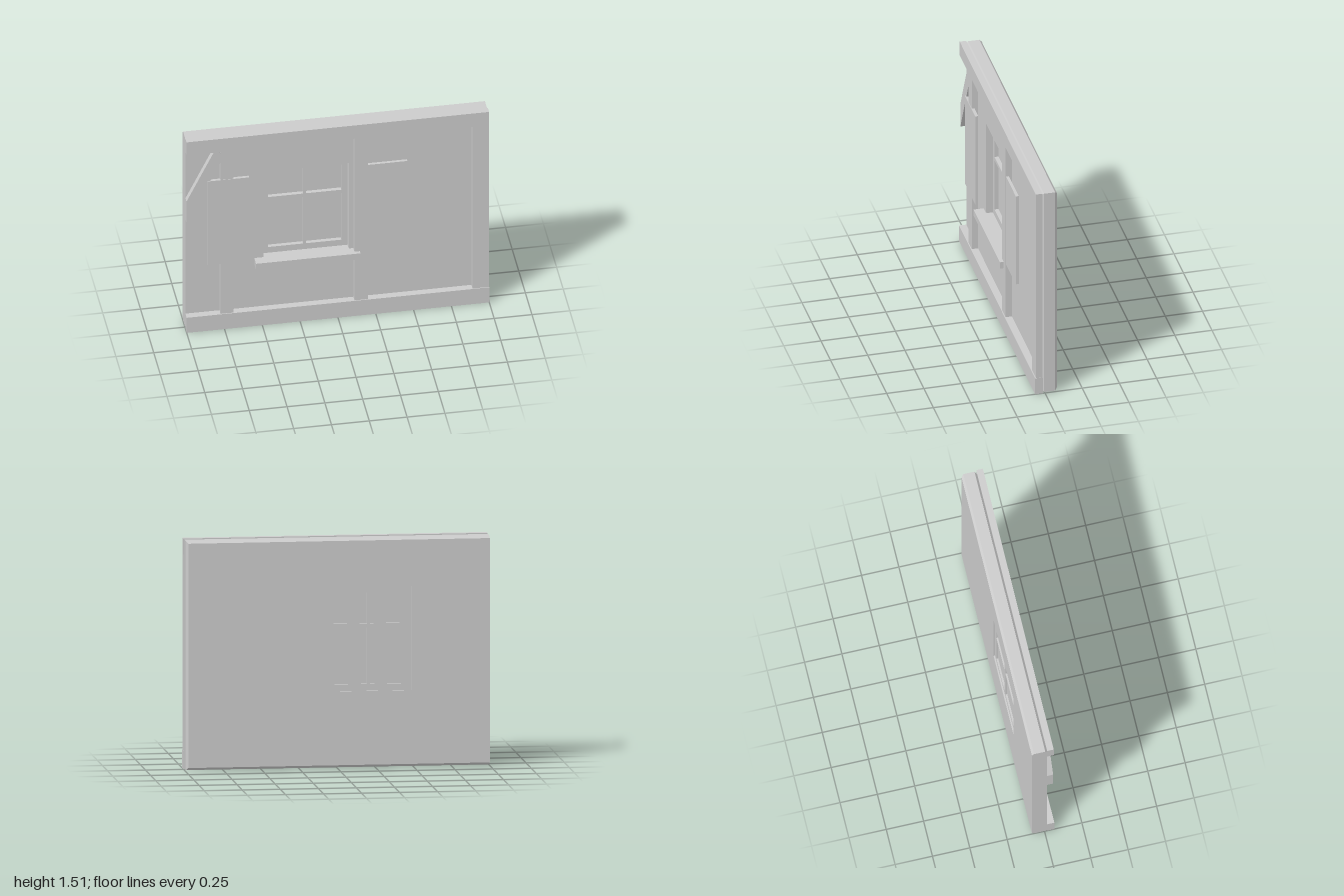
import * as THREE from 'three';

const material = new THREE.MeshStandardMaterial({ color: 0xcccccc, flatShading: true });

// Window opening shared by wall and frame
const OPEN = { x0: -0.485, x1: 0.08, y0: 0.505, y1: 1.19 };

function add(group, name, geometry) {
  const mesh = new THREE.Mesh(geometry, material);
  mesh.name = name;
  group.add(mesh);
  return mesh;
}

// Box given by its limits on each axis
function block(group, name, [x0, x1], [y0, y1], [z0, z1]) {
  const geometry = new THREE.BoxGeometry(x1 - x0, y1 - y0, z1 - z0);
  geometry.translate((x0 + x1) / 2, (y0 + y1) / 2, (z0 + z1) / 2);
  return add(group, name, geometry);
}

const polygon = (Type, points) => new Type(points.map(([x, y]) => new THREE.Vector2(x, y)));
const rect = (Type, x0, x1, y0, y1) => polygon(Type, [[x0, y0], [x1, y0], [x1, y1], [x0, y1]]);

// Wall slab with a window hole; top, bottom and +x edges are chamfered
function wallGeometry() {
  const right = 0.995, bottom = 0.005, top = 1.51, inset = 0.015;
  const layers = [-0.085, -0.07, 0.005, 0.018];
  const shape = rect(THREE.Shape, -1, right, bottom, top);
  shape.holes.push(rect(THREE.Path, OPEN.x0, OPEN.x1, OPEN.y0, OPEN.y1));
  const geometry = new THREE.ExtrudeGeometry(shape, { depth: 3, steps: 3, bevelEnabled: false });
  const p = geometry.attributes.position;
  for (let i = 0; i < p.count; i++) {
    const layer = Math.round(p.getZ(i));
    if (layer === 0 || layer === 3) {
      if (p.getX(i) > right - 0.001) p.setX(i, right - inset);
      if (p.getY(i) > top - 0.001) p.setY(i, top - inset);
      if (p.getY(i) < bottom + 0.001) p.setY(i, bottom + inset);
    }
    p.setZ(i, layers[layer]);
  }
  geometry.computeVertexNormals();
  return geometry;
}

// Window frame with four pane openings
function frameGeometry() {
  const shape = rect(THREE.Shape, OPEN.x0, OPEN.x1, OPEN.y0, OPEN.y1);
  for (const [x0, x1] of [[-0.445, -0.214], [-0.194, 0.04]]) {
    for (const [y0, y1] of [[0.55, 0.92], [0.948, 1.15]]) {
      shape.holes.push(rect(THREE.Path, x0, x1, y0, y1));
    }
  }
  const geometry = new THREE.ExtrudeGeometry(shape, { depth: 0.045, bevelEnabled: false });
  return geometry.translate(0, 0, -0.075);
}

export function createModel() {
  const model = new THREE.Group();
  model.name = 'timberWall';

  add(model, 'wall', wallGeometry());

  // Timber framing
  block(model, 'topBeam', [-1, 1], [1.41, 1.515], [0.018, 0.062]);
  block(model, 'bottomBeam', [-1, 1], [0, 0.12], [0.014, 0.066]);
  const posts = [['rightPost', -0.775, -0.69], ['middlePost', 0.11, 0.2], ['leftPost', 0.89, 0.998]];
  for (const [name, x0, x1] of posts) {
    block(model, name, [x0, x1], [0.12, 1.41], [0.016, 0.06]);
  }

  // Diagonal brace running from the outer edge up to the corner post
  const brace = polygon(THREE.Shape, [[-1, 0.87], [-0.775, 1.325], [-0.775, 1.39], [-0.785, 1.41], [-0.82, 1.41], [-1, 1.04]]);
  const braceGeometry = new THREE.ExtrudeGeometry(brace, { depth: 0.042, bevelEnabled: false });
  add(model, 'diagonalBrace', braceGeometry.translate(0, 0, 0.016));

  // Window
  const win = new THREE.Group();
  win.name = 'window';
  model.add(win);
  add(win, 'windowFrame', frameGeometry());
  block(win, 'windowGlass', [-0.46, 0.06], [0.53, 1.17], [-0.063, -0.057]);
  block(win, 'windowSill', [-0.545, 0.145], [0.46, 0.508], [0.01, 0.085]);

  // Open shutters, resting on the posts beside the window
  block(model, 'rightShutter', [-0.86, -0.587], [0.52, 1.187], [0.043, 0.063]);
  block(model, 'leftShutter', [0.18, 0.46], [0.52, 1.187], [0.038, 0.058]);

  return model;
}
